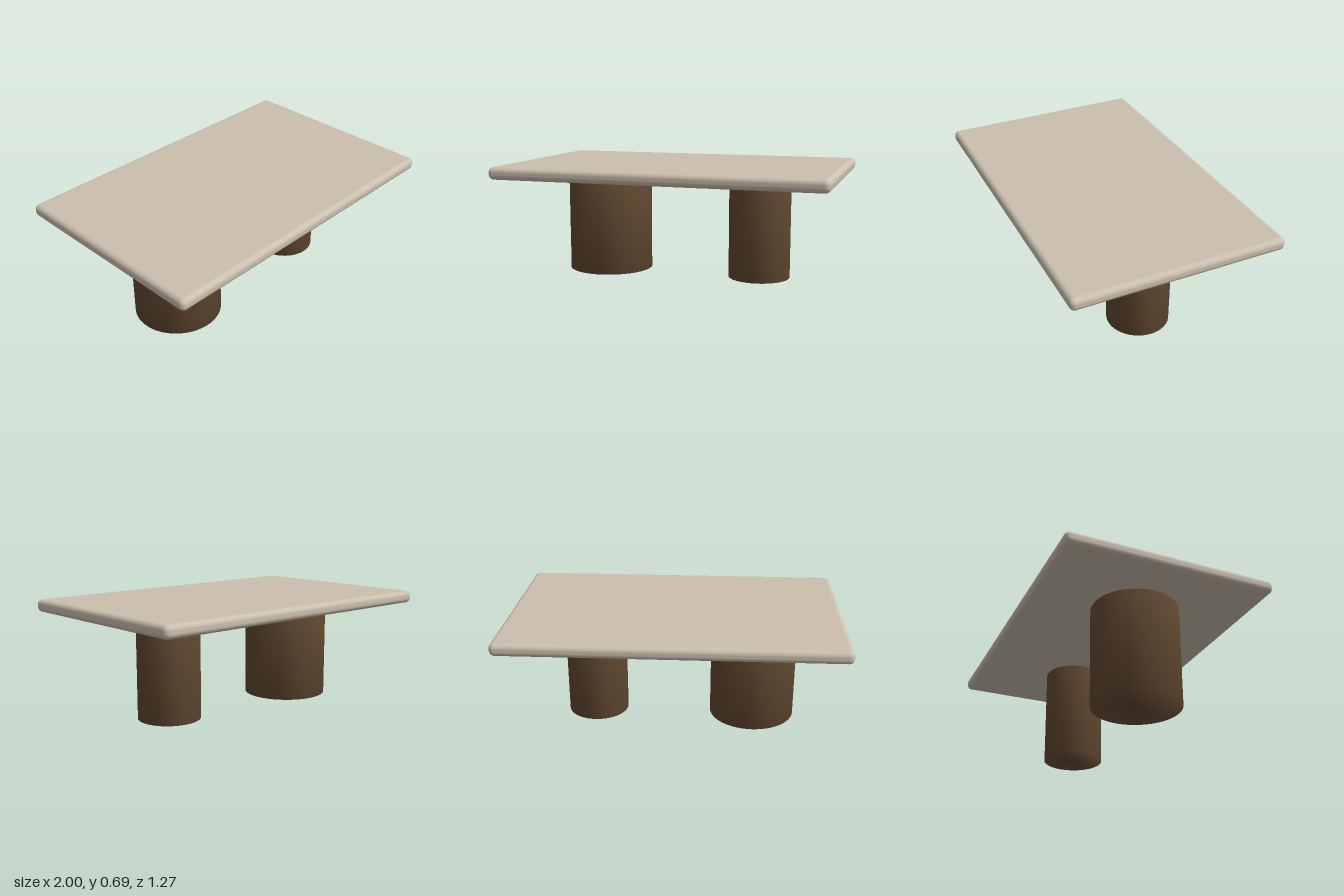
import * as THREE from 'three';
import { mergeVertices } from 'three/addons/utils/BufferGeometryUtils.js';
import { RoundedBoxGeometry } from 'three/addons/geometries/RoundedBoxGeometry.js';

const TOP_Y = 0.691, TOP_THICKNESS = 0.075, LEG_HEIGHT = TOP_Y - TOP_THICKNESS;

// Closed drum with one continuous smooth surface across wall and caps
function drumGeometry(radius, height) {
  const geometry = new THREE.CylinderGeometry(radius, radius, height, 64);
  geometry.deleteAttribute('uv');
  geometry.deleteAttribute('normal');
  const merged = mergeVertices(geometry);
  merged.computeVertexNormals();
  return merged;
}

export function createModel() {
  const stone = new THREE.MeshStandardMaterial({ color: 0xcbc0ae });
  stone.name = 'paleStone';
  const wood = new THREE.MeshStandardMaterial({ color: 0x604730 });
  wood.name = 'darkWood';

  const table = new THREE.Group();
  table.name = 'coffeeTable';

  // Slab with softly rounded edges
  const top = new THREE.Mesh(new RoundedBoxGeometry(2, TOP_THICKNESS, 1.27, 5, 0.031), stone);
  top.name = 'tableTop';
  top.position.y = TOP_Y - TOP_THICKNESS / 2;
  table.add(top);

  // One wide and one narrow drum leg
  for (const [name, x, radius] of [['wideLeg', -0.482, 0.263], ['narrowLeg', 0.498, 0.188]]) {
    const leg = new THREE.Mesh(drumGeometry(radius, LEG_HEIGHT), wood);
    leg.name = name;
    leg.position.set(x, LEG_HEIGHT / 2, 0);
    table.add(leg);
  }
  return table;
}
